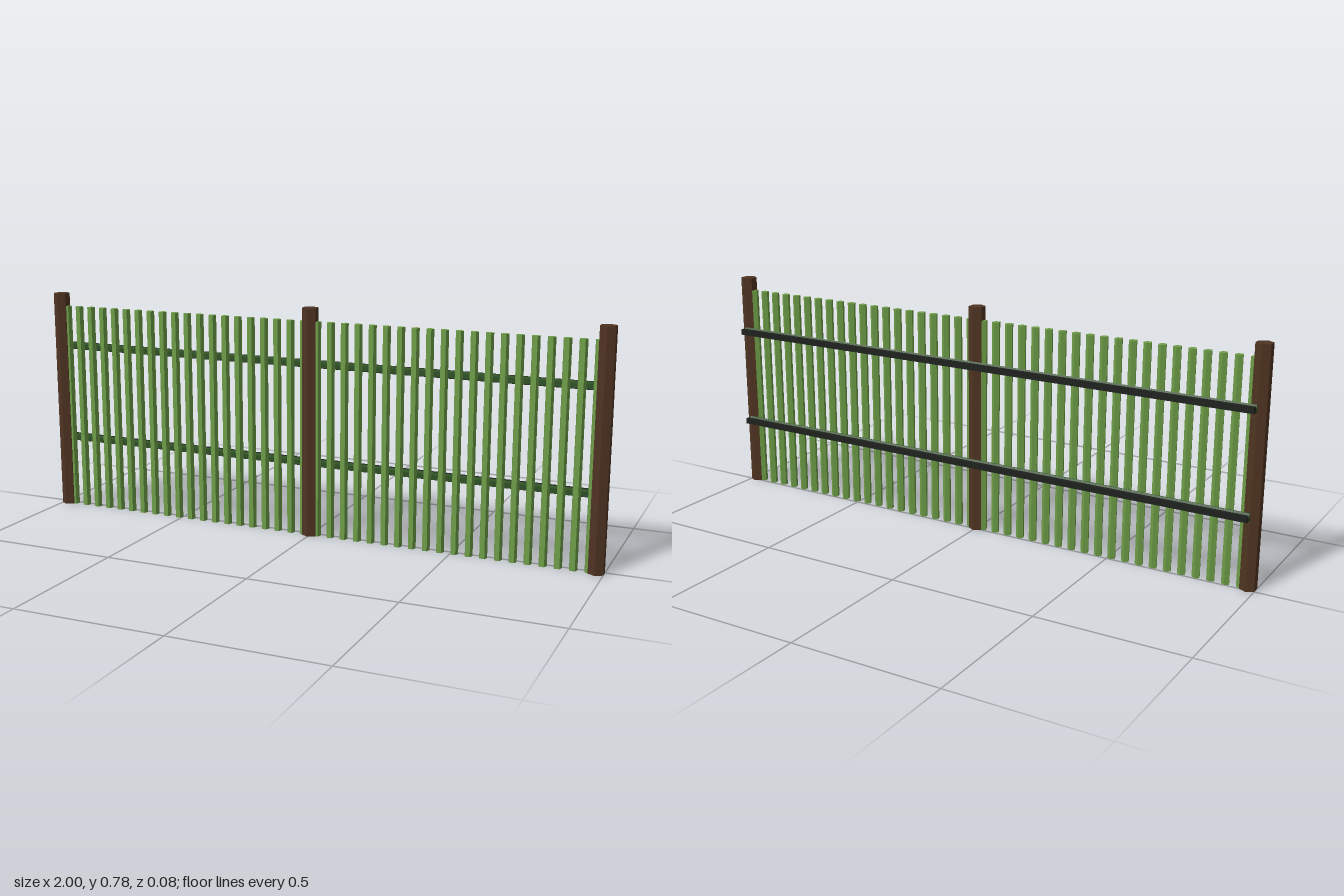
import * as THREE from 'three';

const material = (name, color) => {
  const m = new THREE.MeshStandardMaterial({ color, flatShading: true });
  m.name = name;
  return m;
};

export function createModel() {
  const group = new THREE.Group();
  group.name = 'fence';
  const wood = material('brown wood', 0x4f3422);
  const green = material('picket green', 0x6f9f48);
  const darkGreen = material('dark green', 0x2e4f24);
  const black = material('black', 0x1e211e);

  const add = (name, geometry, mat, x, y, z) => {
    const mesh = new THREE.Mesh(geometry, mat);
    mesh.name = name;
    mesh.position.set(x, y, z);
    group.add(mesh);
  };

  const half = 0.9757; // distance from middle post to end post
  const u = 0.014; // picket radius, the base unit of the depth layout

  // Hexagonal posts
  const postHeight = 0.78;
  const postGeo = new THREE.CylinderGeometry(2 * u, 2 * u, postHeight, 6);
  for (const x of [-half, 0, half]) add('post', postGeo, wood, x, postHeight / 2, u);

  // Five-sided pickets with a flat side to the front
  const count = 40;
  const picketHeight = 0.735;
  const picketGeo = new THREE.CylinderGeometry(u, u, picketHeight, 5).rotateY(Math.PI);
  for (let i = 0; i < count; i++) {
    const x = -half + ((i + 0.5) * 2 * half) / count;
    add('picket', picketGeo, green, x, picketHeight / 2, u);
  }

  // Round rails with a flat backing strip behind each
  const railGeo = new THREE.CylinderGeometry(u, u, 2 * half, 5).rotateY(Math.PI).rotateZ(Math.PI / 2);
  const stripGeo = new THREE.BoxGeometry(2 * half, 0.02, u);
  for (const y of [0.245, 0.586]) {
    add('rail', railGeo, darkGreen, 0, y, -u);
    add('backingStrip', stripGeo, black, 0, y, -2.5 * u);
  }
  return group;
}
